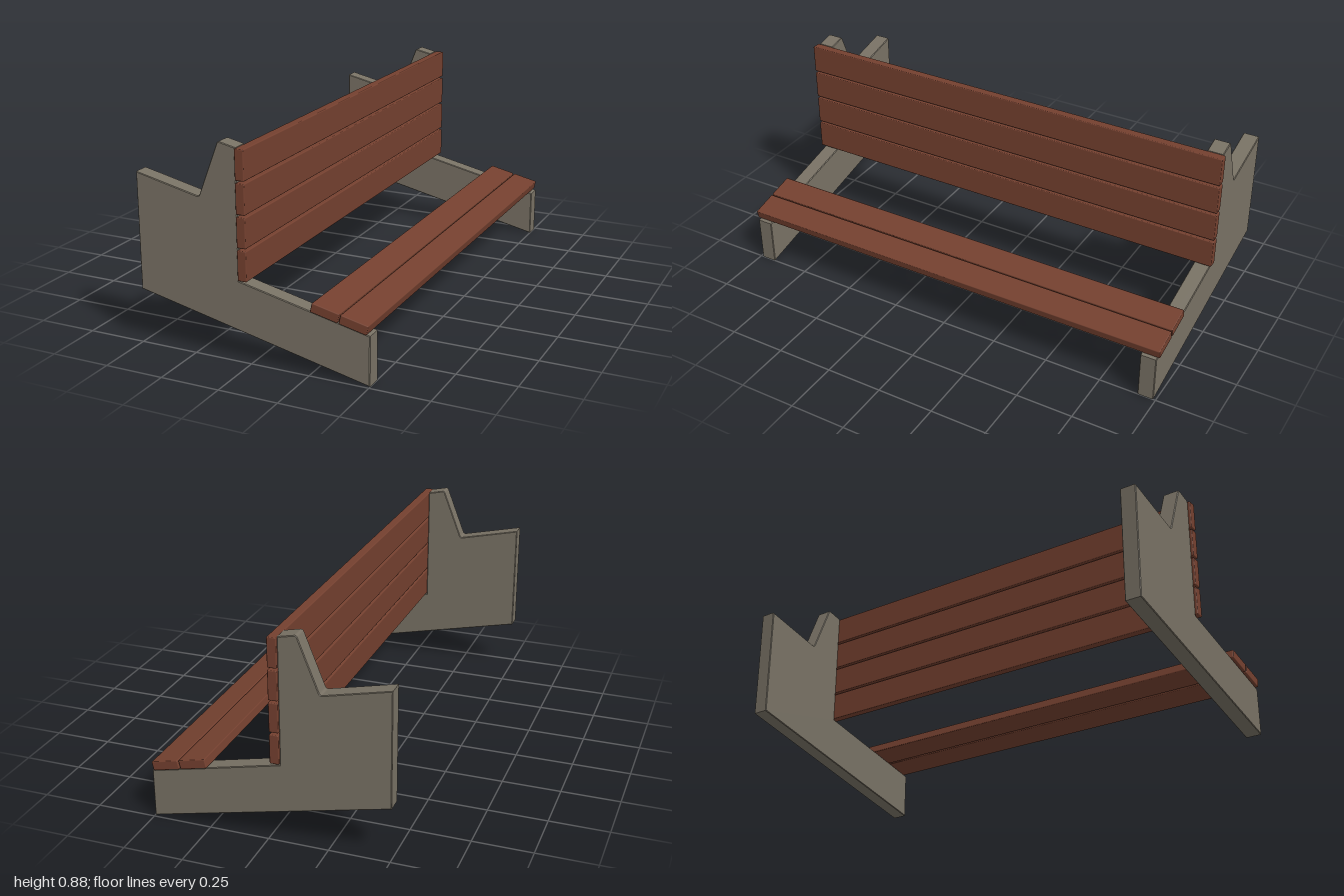
import * as THREE from 'three';
import { RoundedBoxGeometry } from 'three/addons/geometries/RoundedBoxGeometry.js';

const concrete = new THREE.MeshStandardMaterial({ color: 0x787164 });
concrete.name = 'concrete';
const wood = new THREE.MeshStandardMaterial({ color: 0x74402f });
wood.name = 'stainedWood';

const SLOPE = Math.atan2(-0.125, 0.552); // tilt of the seat and base

// Side profile of an end support, with softened peak and notch
function supportGeometry() {
  const bevel = 0.003, depth = 0.07;
  const s = new THREE.Shape();
  s.moveTo(-0.5, 0.228);
  s.lineTo(0.5, 0.003);
  s.lineTo(0.5, 0.208);
  s.lineTo(-0.052, 0.333);
  s.lineTo(-0.052, 0.864);
  s.lineTo(-0.12, 0.879);
  s.quadraticCurveTo(-0.128, 0.881, -0.132, 0.872);
  s.lineTo(-0.215, 0.661);
  s.quadraticCurveTo(-0.219, 0.652, -0.228, 0.654);
  s.lineTo(-0.5, 0.716);
  s.closePath();
  const g = new THREE.ExtrudeGeometry(s, {
    depth: depth - 2 * bevel, bevelEnabled: true, bevelThickness: bevel,
    bevelSize: bevel, bevelOffset: -bevel, bevelSegments: 1, curveSegments: 4,
  });
  return g.translate(0, 0, -depth / 2 + bevel);
}

// Full-length plank centred at (x, y)
function plank(name, w, h, x, y, tilt = 0) {
  const mesh = new THREE.Mesh(new RoundedBoxGeometry(w, h, 2, 2, 0.004), wood);
  mesh.name = name;
  mesh.position.set(x, y, 0);
  mesh.rotation.z = tilt;
  return mesh;
}

export function createModel() {
  const bench = new THREE.Group();
  bench.name = 'bench';

  // End supports
  const geometry = supportGeometry();
  for (const side of [1, -1]) {
    const support = new THREE.Mesh(geometry, concrete);
    support.name = side > 0 ? 'frontEndSupport' : 'backEndSupport';
    support.position.z = side * 0.955;
    bench.add(support);
  }

  // Upright backrest planks
  for (let i = 0; i < 4; i++) {
    bench.add(plank(`backrestPlank${i + 1}`, 0.039, 0.124, -0.0325, 0.4 + i * 0.1335));
  }

  // Seat planks lying on the sloped arms
  [[0.317, 0.2715], [0.436, 0.2445]].forEach(([x, y], i) => {
    bench.add(plank(`seatPlank${i + 1}`, 0.117, 0.039, x, y, SLOPE));
  });

  return bench;
}
